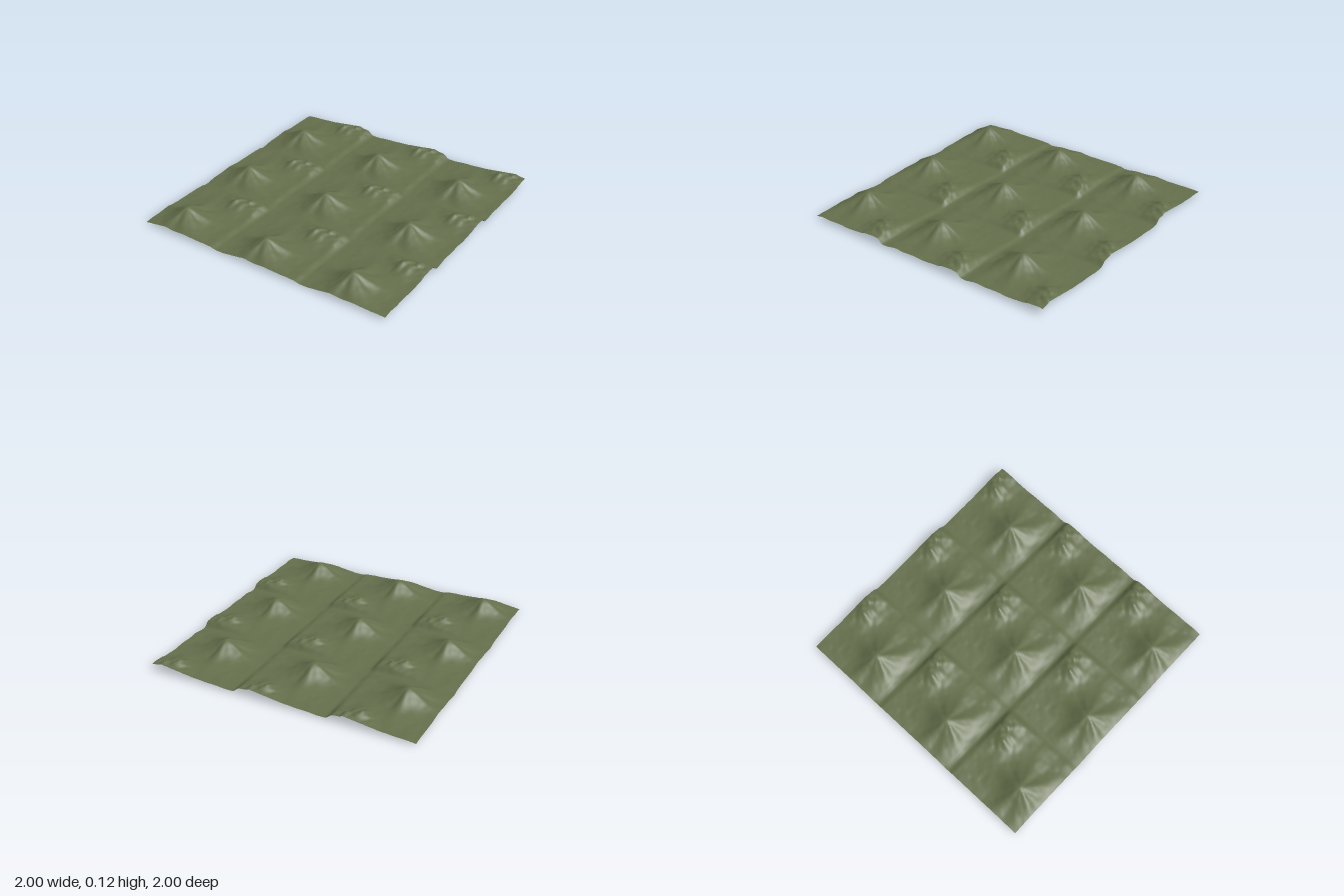
import * as THREE from 'three';

const TILE = 0.705;
const HALF = TILE / 2;
const SEGMENTS = 190;

const wrap = (v) => v - TILE * Math.round(v / TILE);
const smooth = THREE.MathUtils.smoothstep;

// Repeatable lattice noise, interpolated smoothly
function hash(i, j) {
  const s = Math.sin(i * 127.1 + j * 311.7) * 43758.5453;
  return s - Math.floor(s);
}
function noise(x, z) {
  const i = Math.floor(x), j = Math.floor(z);
  const u = smooth(x - i, 0, 1), v = smooth(z - j, 0, 1);
  const a = THREE.MathUtils.lerp(hash(i, j), hash(i + 1, j), u);
  const b = THREE.MathUtils.lerp(hash(i, j + 1), hash(i + 1, j + 1), u);
  return THREE.MathUtils.lerp(a, b, v) - 0.5;
}

// Tall concave mountain with ridges running down its sides
function mountain(x, z) {
  const dx = x + 0.055, dz = z - 0.12;
  const a = Math.atan2(dz, dx);
  const ridges = 1 + 0.1 * Math.sin(5 * a + 0.6) + 0.06 * Math.sin(9 * a);
  const r = Math.hypot(dx, dz) * ridges;
  return 0.1 * Math.exp(-Math.pow(r / 0.125, 1.6));
}

// Rugged low hill: a broad dome, a sharp summit and an eastern shoulder
function hill(x, z) {
  const dx = x - 0.12, dz = z + 0.21;
  const dome = 0.028 * Math.exp(-(((x - 0.16) / 0.14) ** 2) - ((z + 0.23) / 0.1) ** 2);
  const summit = 0.042 * Math.exp(-Math.hypot(dx, dz * 0.8) / 0.04);
  const shoulder = 0.018 * Math.exp(-(((x - 0.25) / 0.09) ** 2) - ((z + 0.28) / 0.1) ** 2);
  const rough = 0.6 * (dome + shoulder) * noise(x * 28, z * 28);
  return dome + summit + shoulder + rough;
}

// Height of the land; shallow valleys run along the tile seams
function height(wx, wz) {
  const x = wrap(wx), z = wrap(wz);
  const east = smooth(HALF - x, 0, 0.06), west = smooth(x + HALF, 0, 0.3);
  const north = smooth(z + HALF, 0, 0.05), south = smooth(HALF - z, 0, 0.12);
  const base = 0.006 + 0.012 * east * west + 0.012 * north * south;
  const detail = 0.006 * noise(x * 13 + 7, z * 13 + 3) + 0.003 * noise(x * 31, z * 31);
  const fade = east * north * smooth(x + HALF, 0, 0.05) * smooth(HALF - z, 0, 0.05);
  return Math.max(0, base + mountain(x, z) * (0.3 + 0.7 * south) + hill(x, z) * east * north + detail * fade);
}

export function createModel() {
  const group = new THREE.Group();
  group.name = 'terrain';

  const grass = new THREE.MeshStandardMaterial({ color: 0x646e4b, side: THREE.DoubleSide });
  grass.name = 'mossGreen';

  // One open sheet of land
  const geometry = new THREE.PlaneGeometry(2, 2, SEGMENTS, SEGMENTS).rotateX(-Math.PI / 2);
  const p = geometry.attributes.position;
  for (let i = 0; i < p.count; i++) p.setY(i, height(p.getX(i), p.getZ(i)));
  geometry.computeVertexNormals();

  const land = new THREE.Mesh(geometry, grass);
  land.name = 'hillyGround';
  group.add(land);
  return group;
}
